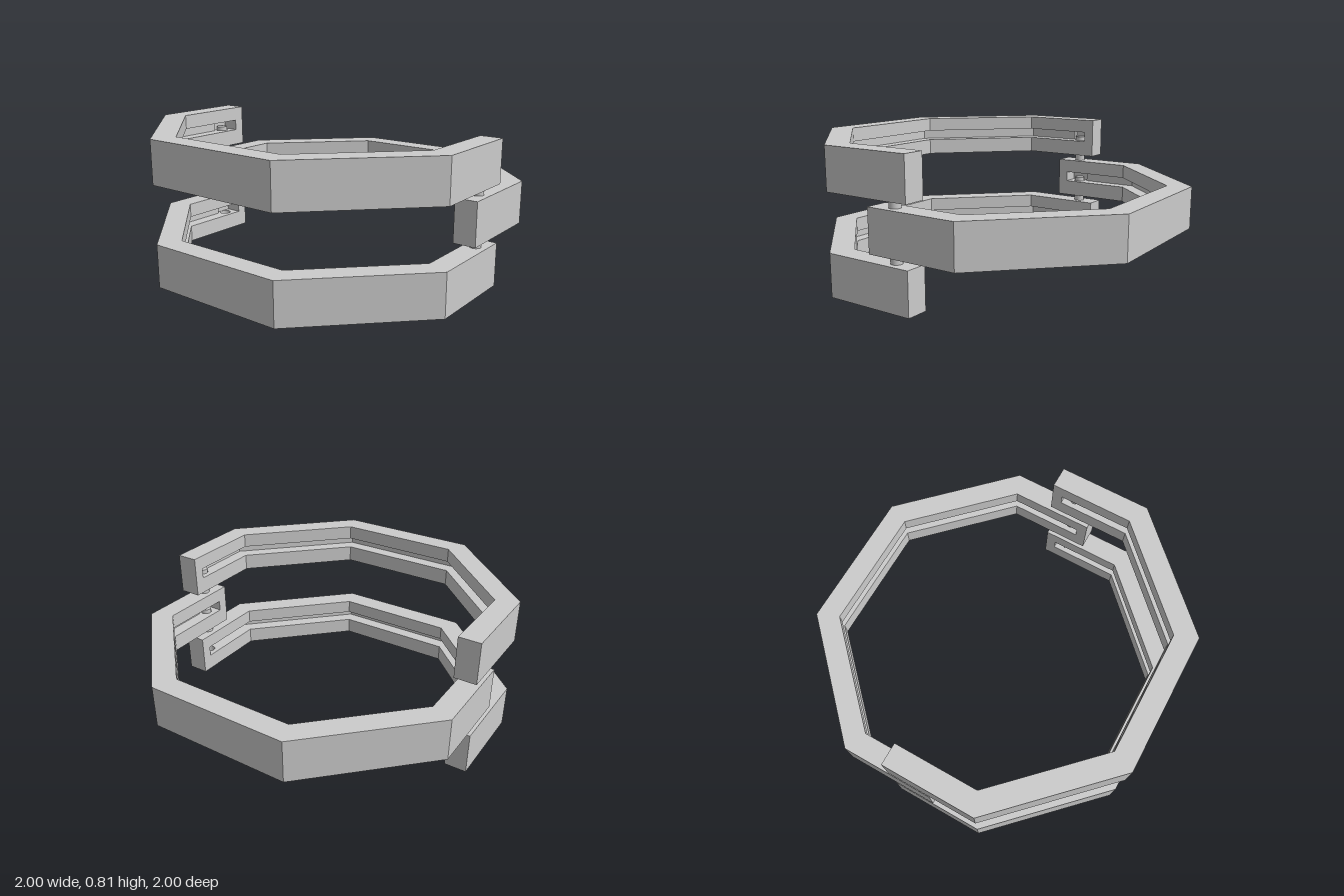
import * as THREE from 'three';
import { mergeGeometries } from 'three/addons/utils/BufferGeometryUtils.js';

const END = 0.127, OUTER = 1, INNER = 0.873, GROOVE = 0.951;
const HEIGHT = 0.243, LEDGE = 0.097, CEILING = 0.16, PITCH = 0.284;
const PIN_Z = 0.937, PIN_R = 0.032, BORE_R = 0.034;
const SLOT_END = 0.065, POCKET_START = -0.05, POCKET = 0.975;

// Half octagon of apothem a, running from +z round -x to -z; points are [x, z]
function halfOctagon(a, end) {
  const c = a * Math.tan(Math.PI / 8);
  const half = [[end, a], [-c, a], [-a, c]];
  return [...half, ...mirrorZ(half)];
}

function mirrorZ(points) {
  return points.map(([x, z]) => [x, -z]).reverse();
}

// Vertical strip along a path
function wall(path, y0, y1) {
  const pos = [];
  for (let i = 0; i + 1 < path.length; i++) {
    const [ax, az] = path[i], [bx, bz] = path[i + 1];
    pos.push(ax, y0, az, ax, y1, az, bx, y1, bz, ax, y0, az, bx, y1, bz, bx, y0, bz);
  }
  const g = new THREE.BufferGeometry();
  g.setAttribute('position', new THREE.Float32BufferAttribute(pos, 3));
  g.computeVertexNormals();
  return g;
}

// Horizontal face, optionally pierced by the two pin bores
function plate(outline, y, up, bored) {
  const shape = new THREE.Shape(outline.map(([x, z]) => new THREE.Vector2(x, z)));
  if (bored) {
    for (const s of [1, -1]) {
      shape.holes.push(new THREE.Path().absarc(0, s * PIN_Z, BORE_R, 0, Math.PI * 2, true));
    }
  }
  const g = new THREE.ShapeGeometry(shape, 12).toNonIndexed();
  g.deleteAttribute('uv');
  return g.rotateX(up ? -Math.PI / 2 : Math.PI / 2).translate(0, y, 0);
}

function linkGeometry() {
  const outer = halfOctagon(OUTER, END);
  const inner = halfOctagon(INNER, END).reverse();
  const outline = [...outer, ...inner];

  // Groove back, stepping deeper round the pins at both ends
  const c = GROOVE * Math.tan(Math.PI / 8);
  const half = [
    [SLOT_END, INNER], [SLOT_END, POCKET], [POCKET_START, POCKET],
    [POCKET_START, GROOVE], [-c, GROOVE], [-GROOVE, c],
  ];
  const back = [...half, ...mirrorZ(half)];
  const grooveFloor = [...back, ...halfOctagon(INNER, SLOT_END).slice(1, -1).reverse()];
  const grooveWall = [[END, INNER], ...back, [END, -INNER]].reverse();

  return mergeGeometries([
    wall([[END, INNER], ...outer, [END, -INNER]], 0, HEIGHT),
    wall(inner, 0, LEDGE),
    wall(grooveWall, LEDGE, CEILING),
    wall(inner, CEILING, HEIGHT),
    plate(outline, 0, false, true),
    plate(grooveFloor, LEDGE, true, true),
    plate(grooveFloor, CEILING, false, false),
    plate(outline, HEIGHT, true, false),
  ]);
}

export function createModel() {
  const model = new THREE.Group();
  const material = new THREE.MeshStandardMaterial({ color: 0xcccccc });
  const boreMaterial = new THREE.MeshStandardMaterial({ color: 0xcccccc, side: THREE.BackSide });

  const link = linkGeometry();
  const bore = new THREE.CylinderGeometry(BORE_R, BORE_R, LEDGE, 24, 1, true);
  const pinLength = PITCH + LEDGE + 0.025 - HEIGHT;
  const pin = new THREE.CylinderGeometry(PIN_R, PIN_R, pinLength, 24);

  // Three stacked half rings, alternately turned, joined by pins
  for (let i = 0; i < 3; i++) {
    const segment = new THREE.Group();
    segment.name = 'halfRing' + (i + 1);
    segment.position.y = i * PITCH;
    segment.rotation.y = i % 2 ? Math.PI : 0;

    const body = new THREE.Mesh(link, material);
    body.name = 'groovedHalfRing';
    segment.add(body);

    for (const s of [1, -1]) {
      const hole = new THREE.Mesh(bore, boreMaterial);
      hole.name = 'pinBore';
      hole.position.set(0, LEDGE / 2, s * PIN_Z);
      segment.add(hole);
      if (i < 2) {
        const peg = new THREE.Mesh(pin, material);
        peg.name = 'hingePin';
        peg.position.set(0, HEIGHT + pinLength / 2, s * PIN_Z);
        segment.add(peg);
      }
    }
    model.add(segment);
  }
  return model;
}
